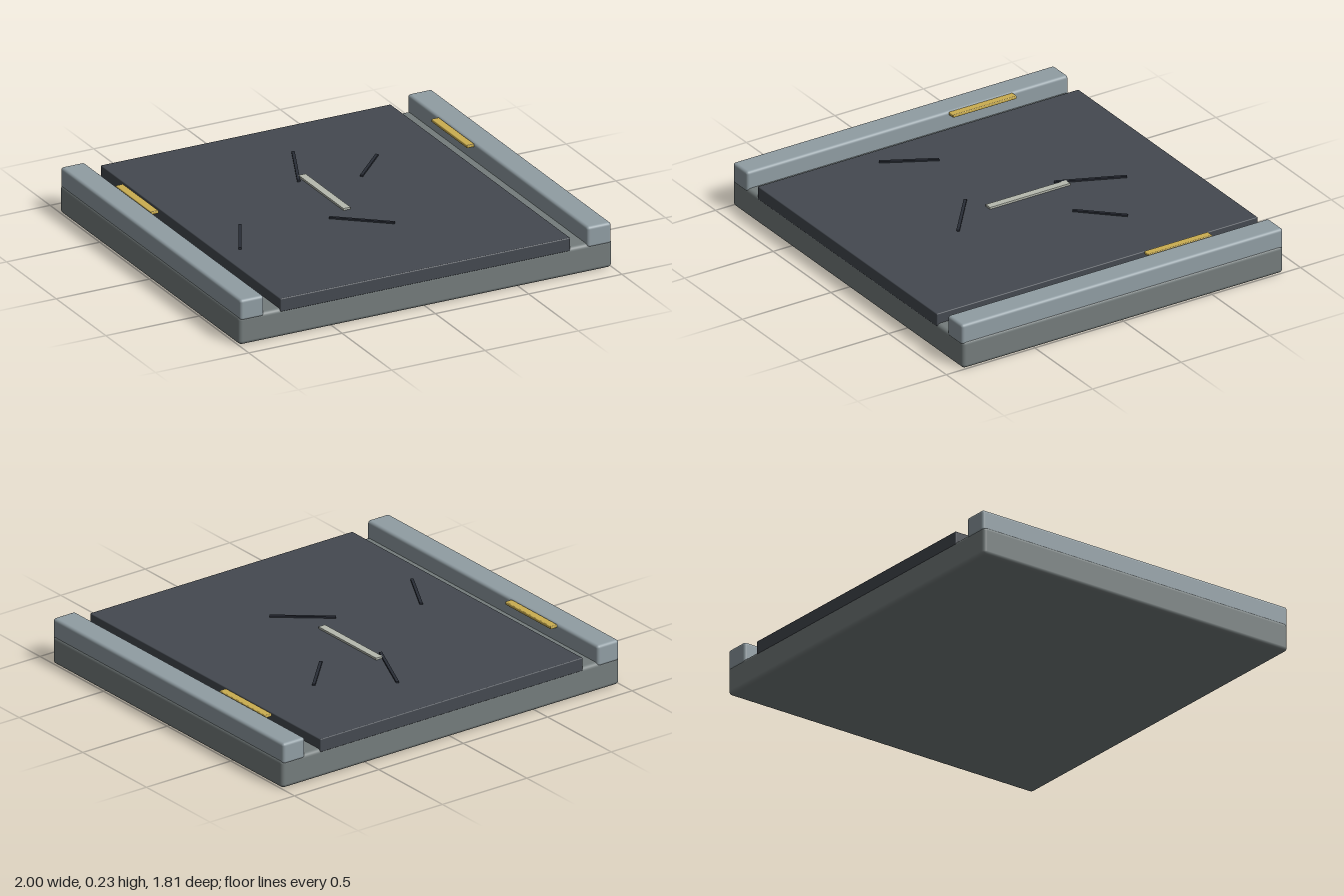
import * as THREE from 'three';
import { RoundedBoxGeometry } from 'three/addons/geometries/RoundedBoxGeometry.js';

const mat = (color) => new THREE.MeshStandardMaterial({ color });

export function createModel() {
  const group = new THREE.Group();
  const concrete = mat(0x747c7c), kerbStone = mat(0x909da3), asphalt = mat(0x444950);
  const yellow = mat(0xcbae50), paint = mat(0xb6baaf), dark = mat(0x282c35);

  // Box between two corners, with optional rounded edges
  function block(name, material, [x0, y0, z0], [x1, y1, z1], radius = 0) {
    const size = [x1 - x0, y1 - y0, z1 - z0];
    const geometry = radius
      ? new RoundedBoxGeometry(...size, 3, radius)
      : new THREE.BoxGeometry(...size);
    const mesh = new THREE.Mesh(geometry, material);
    mesh.name = name;
    mesh.position.set((x0 + x1) / 2, (y0 + y1) / 2, (z0 + z1) / 2);
    group.add(mesh);
    return mesh;
  }

  // Foundation slab and road surface
  block('baseSlab', concrete, [-1, 0, -0.905], [1, 0.145, 0.905], 0.02);
  block('roadSurface', asphalt, [-0.78, 0.13, -0.906], [0.775, 0.198, 0.906], 0.005);

  // Kerbs along both sides, each with a yellow marker on its inner edge
  for (const [side, s] of [['left', 1], ['right', -1]]) {
    const [kx0, kx1] = s > 0 ? [0.865, 0.995] : [-0.995, -0.867];
    block(side + 'Kerb', kerbStone, [kx0, 0.125, -0.907], [kx1, 0.233, 0.907], 0.015);
    const [mx0, mx1] = s > 0 ? [0.825, 0.865] : [-0.868, -0.828];
    block(side + 'KerbMarker', yellow, [mx0, 0.216, -0.59], [mx1, 0.232, -0.23], 0.004);
  }

  // Painted centre dash
  block('centreDash', paint, [-0.02, 0.194, -0.34], [0.018, 0.208, 0.113]);

  // Cracks: thin dark strips from (x, z) to (x, z)
  const cracks = [
    [-0.045, -0.29, 0.095, -0.61],
    [0.245, -0.205, 0.43, -0.395],
    [-0.67, 0.292, -0.535, 0.04],
    [-0.122, 0.162, 0.122, 0.362],
  ];
  cracks.forEach(([xa, za, xb, zb], i) => {
    const length = Math.hypot(xb - xa, zb - za);
    const crack = new THREE.Mesh(new THREE.BoxGeometry(length, 0.012, 0.015), dark);
    crack.name = 'crack' + (i + 1);
    crack.position.set((xa + xb) / 2, 0.2, (za + zb) / 2);
    crack.rotation.y = -Math.atan2(zb - za, xb - xa);
    group.add(crack);
  });

  return group;
}
